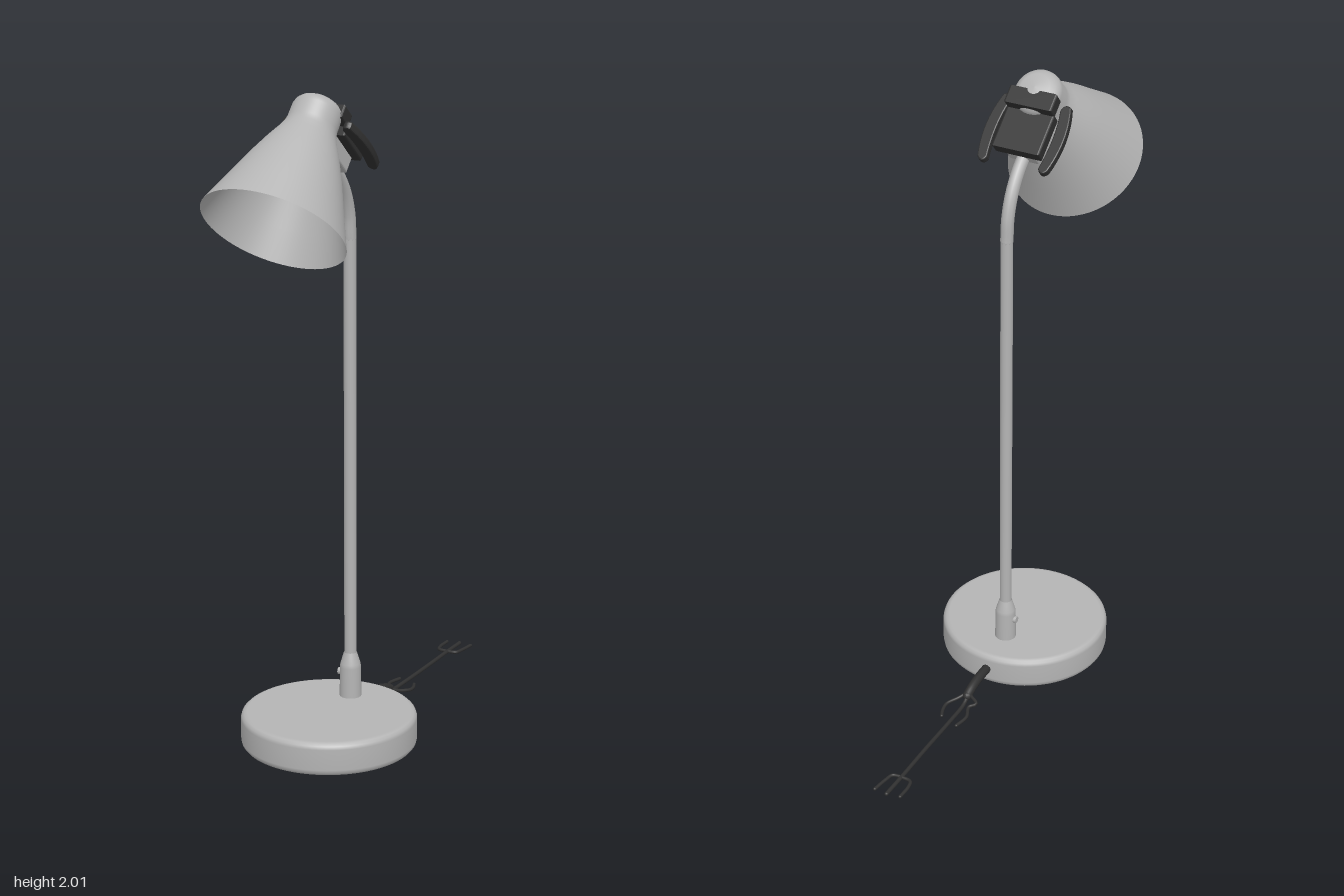
import * as THREE from 'three';

const grey = new THREE.MeshStandardMaterial({ color: 0xb4b4b4 });
grey.name = 'pale grey metal';
grey.side = THREE.DoubleSide;
const black = new THREE.MeshStandardMaterial({ color: 0x303030 });
black.name = 'black plastic';

const V = (x, y, z) => new THREE.Vector3(x, y, z);

function add(parent, name, geometry, material, x = 0, y = 0, z = 0) {
  const mesh = new THREE.Mesh(geometry, material);
  mesh.name = name;
  mesh.position.set(x, y, z);
  parent.add(mesh);
  return mesh;
}

const lathe = (points, segments = 64) =>
  new THREE.LatheGeometry(points.map(([r, y]) => new THREE.Vector2(r, y)), segments);

// Tube along a smooth path, closed with a ball at each end
function cord(parent, name, points, radius, material, segments = 24) {
  const group = new THREE.Group();
  group.name = name;
  parent.add(group);
  const curve = new THREE.CatmullRomCurve3(points);
  add(group, name + 'Run', new THREE.TubeGeometry(curve, segments, radius, 10), material);
  for (const p of [points[0], points[points.length - 1]])
    add(group, name + 'End', new THREE.SphereGeometry(radius, 10, 8), material, p.x, p.y, p.z);
}

// Curved bar seen from above, with thickness in y
function lever(side) {
  const s = new THREE.Shape();
  s.moveTo(0.085, 0.035);
  s.quadraticCurveTo(0.09, 0.012, 0.108, 0.022);
  s.quadraticCurveTo(0.14, 0.12, 0.112, 0.225);
  s.quadraticCurveTo(0.098, 0.245, 0.088, 0.225);
  s.quadraticCurveTo(0.104, 0.12, 0.085, 0.035);
  const geo = new THREE.ExtrudeGeometry(s, {
    depth: 0.014, bevelEnabled: true, bevelSize: 0.004, bevelThickness: 0.005, bevelSegments: 2, curveSegments: 12,
  });
  geo.rotateX(-Math.PI / 2);
  if (side < 0) geo.rotateZ(Math.PI);
  return geo;
}

// Box with softly bevelled edges, extruded across x
function block(w, h, d, bevel = 0.006) {
  const a = d / 2 - bevel, b = h / 2 - bevel;
  const s = new THREE.Shape([[-a, -b], [a, -b], [a, b], [-a, b]].map(([x, y]) => new THREE.Vector2(x, y)));
  const geo = new THREE.ExtrudeGeometry(s, {
    depth: w - 2 * bevel, bevelEnabled: true, bevelSize: bevel, bevelThickness: bevel, bevelSegments: 3,
  });
  return geo.translate(0, 0, -w / 2 + bevel).rotateY(Math.PI / 2);
}

export function createModel() {
  const lamp = new THREE.Group();
  lamp.name = 'deskLamp';

  // Round base with softened rims
  add(lamp, 'base', lathe([
    [0, 0], [0.255, 0], [0.262, 0.003], [0.268, 0.01], [0.27, 0.02],
    [0.27, 0.085], [0.267, 0.095], [0.26, 0.102], [0.25, 0.105], [0, 0.105],
  ], 80), grey, 0, 0, 0.225);

  // Collar and its small screw
  add(lamp, 'collar', lathe([
    [0.034, 0.1], [0.033, 0.2], [0.031, 0.212], [0.024, 0.235], [0.02, 0.248],
  ], 32), grey, 0, 0, 0.087);
  add(lamp, 'collarScrew', new THREE.CylinderGeometry(0.011, 0.011, 0.014, 16).rotateZ(Math.PI / 2),
    grey, -0.034, 0.178, 0.087);

  // Straight stem and the bend towards the head
  add(lamp, 'stem', new THREE.CylinderGeometry(0.019, 0.019, 1.35, 24, 1, true), grey, 0, 0.875, 0.087);
  cord(lamp, 'stemBend', [
    V(0, 1.55, 0.087), V(0, 1.62, 0.093), V(0, 1.685, 0.115),
    V(0, 1.74, 0.152), V(0, 1.78, 0.195), V(0, 1.81, 0.237),
  ], 0.02, grey, 32);

  // Tilted head: local y runs along the shade, from rim to crown
  const head = new THREE.Group();
  head.name = 'head';
  head.position.set(0, 1.65, 0.535);
  head.rotation.x = -0.704;
  lamp.add(head);

  add(head, 'shade', lathe([
    [0.216, 0], [0.18, 0.09], [0.141, 0.19], [0.11, 0.26], [0.09, 0.3], [0.079, 0.325],
    [0.075, 0.345], [0.074, 0.39], [0.07, 0.404], [0.06, 0.416], [0.045, 0.425], [0, 0.429],
  ]), grey);
  add(head, 'bulb', new THREE.SphereGeometry(0.07, 32, 20), grey, 0, 0.21, 0);
  add(head, 'bulbSocket', new THREE.CylinderGeometry(0.035, 0.045, 0.16, 24), grey, 0, 0.34, 0);

  // Pivot joint behind the shade
  add(head, 'pivotBody', block(0.1, 0.052, 0.14), grey, 0, 0.333, -0.115);
  add(head, 'pivotCover', block(0.156, 0.038, 0.135), black, 0, 0.374, -0.125);
  add(head, 'pivotCap', block(0.156, 0.042, 0.056), black, 0, 0.406, -0.036);
  add(head, 'leftLever', lever(1), black, 0, 0.36, 0);
  const right = add(head, 'rightLever', lever(1), black, 0, 0.36, 0);
  right.geometry = mirrorX(right.geometry);

  // Cable with strain relief and frayed ends
  const cable = new THREE.Group();
  cable.name = 'cable';
  lamp.add(cable);
  cord(cable, 'strainRelief', [
    V(0, 0.055, -0.03), V(0, 0.054, -0.1), V(0, 0.046, -0.145), V(0, 0.034, -0.175),
  ], 0.015, black);
  cord(cable, 'cableCore', [
    V(0, 0.038, -0.165), V(-0.003, 0.02, -0.205), V(-0.003, 0.016, -0.3),
    V(-0.002, 0.016, -0.45), V(-0.003, 0.016, -0.6), V(-0.002, 0.016, -0.693),
  ], 0.0065, black, 48);
  const strands = [
    [V(-0.008, 0.036, -0.17), V(-0.043, 0.03, -0.195), V(-0.025, 0.022, -0.21), V(-0.04, 0.018, -0.255), V(-0.031, 0.016, -0.305)],
    [V(0.008, 0.036, -0.17), V(0.025, 0.026, -0.19), V(0.047, 0.02, -0.225), V(0.045, 0.017, -0.255), V(0.034, 0.016, -0.283)],
    [V(0, 0.016, -0.603), V(-0.036, 0.016, -0.608), V(-0.045, 0.016, -0.635), V(-0.045, 0.016, -0.685)],
    [V(0, 0.016, -0.603), V(0.025, 0.016, -0.608), V(0.034, 0.016, -0.64), V(0.041, 0.016, -0.69)],
  ];
  strands.forEach((path, i) => cord(cable, 'strand' + (i + 1), path, 0.0055, black));

  return lamp;
}

// Mirror a geometry across x, keeping its faces outward
function mirrorX(geometry) {
  const g = geometry.toNonIndexed ? (geometry.index ? geometry.toNonIndexed() : geometry) : geometry;
  const p = g.attributes.position;
  for (let i = 0; i < p.count; i += 3) {
    const c = [0, 1, 2].map((k) => V(-p.getX(i + k), p.getY(i + k), p.getZ(i + k)));
    [c[0], c[2], c[1]].forEach((v, k) => p.setXYZ(i + k, v.x, v.y, v.z));
  }
  g.computeVertexNormals();
  return g;
}
